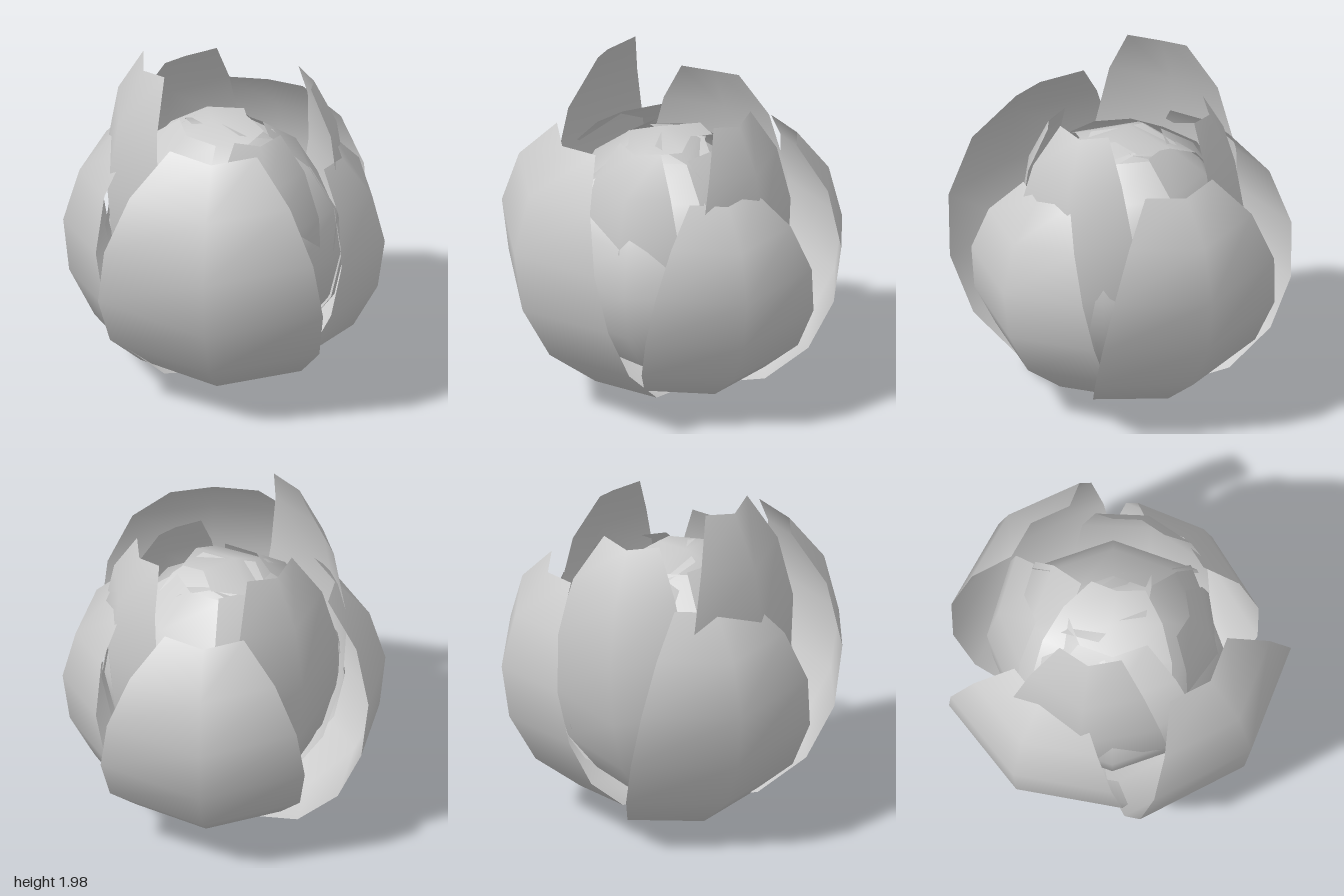
import * as THREE from 'three';

// Unit petal, base to tip: [outward, up, half width] of each row
const ROWS = [
  [0, 0, 0.21], [0.42, 0.09, 0.46], [0.71, 0.31, 0.6], [0.88, 0.62, 0.645],
  [0.93, 0.97, 0.6], [0.84, 1.32, 0.46], [0.63, 1.59, 0.25],
];

// Cupped petal, three points per row; its side edges sit inward of and above the spine.
// angle: facing direction from the front (degrees), r and y: base position,
// shift: sideways offset, tilt: inward lean (degrees), tall: vertical stretch
function petal({ name, angle, scale, r, y, shift = 0, tilt = 0, tall = 1 }) {
  const a = THREE.MathUtils.degToRad(angle);
  const t = THREE.MathUtils.degToRad(tilt);
  const positions = [], index = [];
  ROWS.forEach(([out, up, half], i) => {
    const [inward, rise] = i === 0 ? [0.2, 0.6] : [0.95, 0.3];
    for (const side of [-1, 0, 1]) {
      const cup = 0.37 * half * Math.abs(side);
      const o = (out - inward * cup) * scale;
      const u = (up + rise * cup) * scale * tall;
      const radial = r + o * Math.cos(t) - u * Math.sin(t);
      const height = y + u * Math.cos(t) + o * Math.sin(t);
      const across = shift + side * half * scale;
      positions.push(
        radial * Math.sin(a) + across * Math.cos(a),
        height,
        radial * Math.cos(a) - across * Math.sin(a),
      );
    }
    if (i === 0) return;
    for (let c = 0; c < 2; c++) {
      const p = (i - 1) * 3 + c, q = p + 3;
      index.push(p, p + 1, q + 1, p, q + 1, q);
    }
  });
  const geometry = new THREE.BufferGeometry();
  geometry.setAttribute('position', new THREE.Float32BufferAttribute(positions, 3));
  geometry.setIndex(index);
  geometry.computeVertexNormals();
  const mesh = new THREE.Mesh(
    geometry,
    new THREE.MeshStandardMaterial({ color: 0xcccccc, side: THREE.DoubleSide }),
  );
  mesh.name = name;
  return mesh;
}

export function createModel() {
  const flower = new THREE.Group();
  flower.name = 'flowerBud';

  // Large outer petals
  const outer = [
    { name: 'outerPetalFront', angle: 0, scale: 1, r: 0.07, y: 0.05, shift: 0.03 },
    { name: 'outerPetalLeft', angle: 90, scale: 0.82, r: 0.15, y: 0.07, shift: 0.035 },
    { name: 'outerPetalBack', angle: 173, scale: 0.9, r: 0.17, y: 0.06, shift: -0.05 },
    { name: 'outerPetalRight', angle: -82, scale: 0.9, r: 0.11, y: 0, shift: -0.09, tilt: 2 },
  ];

  // Tall, narrow middle petals
  const middle = [
    { name: 'middlePetalFrontLeft', angle: 30, scale: 0.56, tall: 1.6, r: 0.08, y: 0.18, shift: 0.05 },
    { name: 'middlePetalBackLeft', angle: 112, scale: 0.62, tall: 1.6, r: 0.13, y: 0.19 },
    { name: 'middlePetalBackRight', angle: -138, scale: 0.7, tall: 1.5, r: 0.06, y: 0.09, shift: -0.06 },
    { name: 'middlePetalFrontRight', angle: -62, scale: 0.72, tall: 1.6, r: 0.02, y: 0.12, shift: -0.04 },
  ];

  // Small core petals fold over the top, the last one as a cap
  const core = [
    { name: 'corePetal1', angle: -80, scale: 0.62, r: 0.28, y: 0.54, tilt: 40 },
    { name: 'corePetal2', angle: 40, scale: 0.62, r: 0.28, y: 0.55, tilt: 40 },
    { name: 'corePetal3', angle: 160, scale: 0.62, r: 0.28, y: 0.58, tilt: 40 },
    { name: 'corePetalCap', angle: -60, scale: 0.62, r: 0.45, y: 0.7, tilt: 55 },
  ];
  [...outer, ...middle, ...core].forEach((p) => flower.add(petal(p)));

  // Inner petals close into a ball
  for (let i = 0; i < 4; i++) {
    flower.add(petal({
      name: `innerPetal${i + 1}`, angle: 40 + i * 90, scale: 0.79,
      r: 0.12, y: 0.14 + 0.02 * i, tilt: 16,
    }));
  }
  return flower;
}
